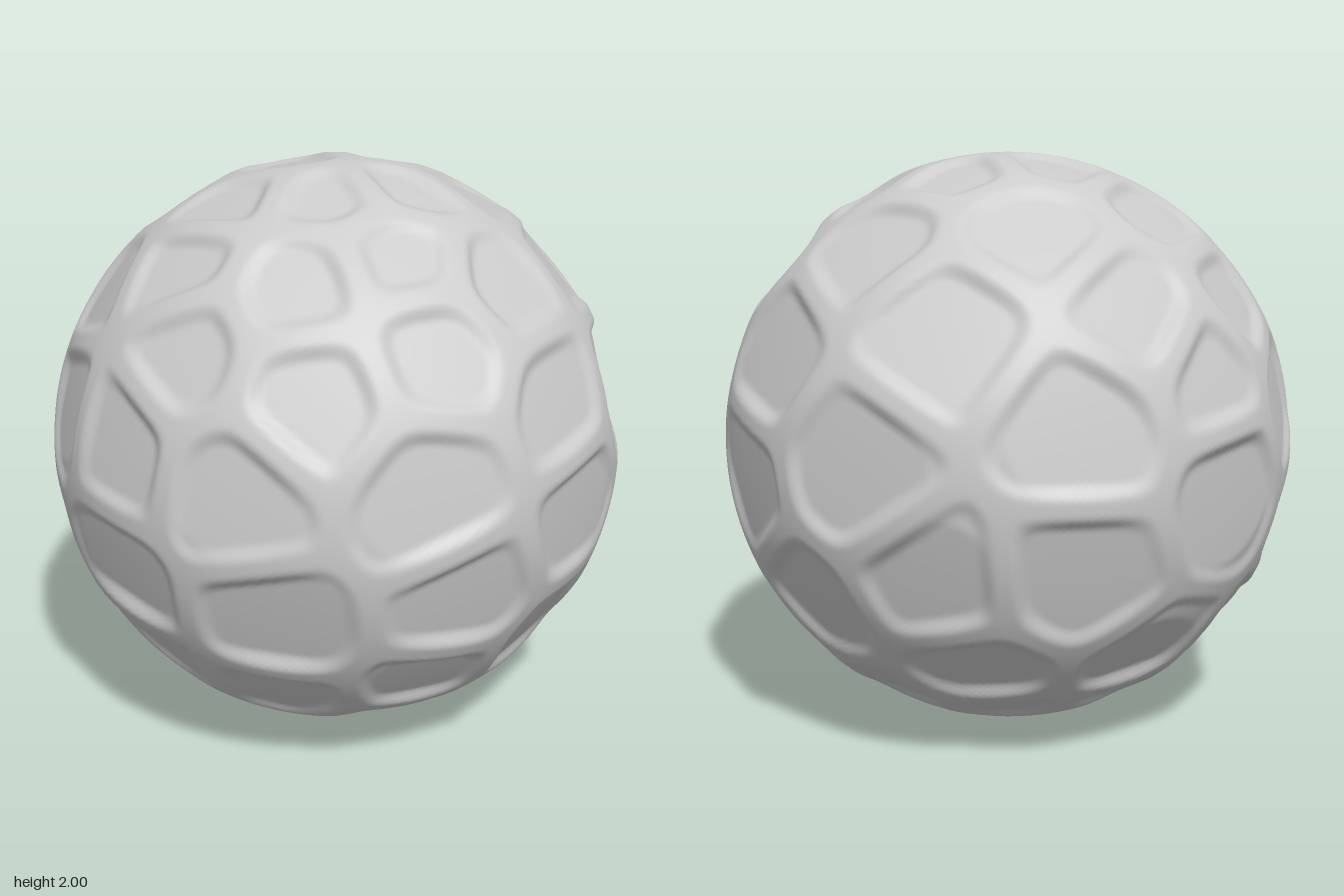
import * as THREE from 'three';
import { mergeVertices } from 'three/addons/utils/BufferGeometryUtils.js';

const RIDGE_RADIUS = 1; // height of the ridges between dimples
const RIDGE_WIDTH = 0.025; // half width of a ridge
const ROUNDING = 40; // higher gives sharper dimple corners

// Dimple centres, seen from a side of the ball, in hundredths: right, up, right, up...
const front = [1, 16, -59, 16, 53, 35, 61, -5, -47, -31, 14, -25, -38, -69, 6, -61, 52, -54, 4, -85,
  39, -85, -34, 46, 9, 58, 38, 71, -67, 54, -31, 76, 5, 82, -87, 23, -88, -25, -74, -60];
const side = [22, -7, -38, 27, -22, 65, 28, 37, -27, -35, 0, -68, 76, 51];
const top = [-42, 37, 6, 59, -12, 17, 23, 18, 55, 37, -40, -9, -12, -27, 17, -24, 44, -8, -60, -25];
const backUpper = [-22, 17, 28, 16, -52, -16, -1, -9, 49, -16, 3, -46, 62, 29, 81, 1, 65, -52];
const backLower = [2, 47, -24, -4, 26, 12, 67, 4, 30, -30, -10, -53, 24, -61, 52, -69, -16, -82,
  20, -84, 69, -47];
const underside = [-30, 16, -56, -12, -60, -40];

// Places flat centres on the ball, as seen from an azimuth and elevation in degrees
function place(centres, azimuth, elevation) {
  const turn = new THREE.Euler(
    -THREE.MathUtils.degToRad(elevation), THREE.MathUtils.degToRad(azimuth), 0, 'YXZ');
  const sites = [];
  for (let i = 0; i < centres.length; i += 2) {
    const u = centres[i] / 100, v = centres[i + 1] / 100;
    const w = Math.sqrt(1 - u * u - v * v);
    sites.push(new THREE.Vector3(u, v, w).applyEuler(turn));
  }
  return sites;
}

// Each dimple knows its centre, its half size and the borders to its neighbours
function makeDimples() {
  const sites = [
    ...place(front, 0, 0), ...place(side, 90, 0), ...place(top, 0, 90),
    ...place(backUpper, 212, 25), ...place(backLower, 135, -25), ...place(underside, 0, -90),
  ];
  return sites.map((centre) => {
    const near = sites
      .filter((s) => s !== centre)
      .sort((a, b) => a.distanceTo(centre) - b.distanceTo(centre))
      .slice(0, 14);
    const borders = near.map((s) => centre.clone().sub(s).normalize());
    const size = near.slice(0, 4).reduce((sum, s) => sum + s.distanceTo(centre), 0) / 8;
    return { centre, borders, size };
  });
}

// Radius of the ball in a direction: flattened dimples divided by rounded ridges
function radiusAt(direction, dimples) {
  let dimple = dimples[0], closest = -1;
  for (const d of dimples) {
    const nearness = direction.dot(d.centre);
    if (nearness > closest) {
      closest = nearness;
      dimple = d;
    }
  }
  // a soft minimum of the border distances rounds the corners of the dimple
  let sum = 0;
  for (const border of dimple.borders) sum += Math.exp(-ROUNDING * direction.dot(border));
  const inset = -Math.log(sum) / ROUNDING - RIDGE_WIDTH;
  if (inset <= 0) return RIDGE_RADIUS;

  const { size } = dimple;
  const rim = THREE.MathUtils.smoothstep(inset, 0, 0.05);
  const fromCentre = Math.min(size, direction.distanceTo(dimple.centre));
  const flattening = (size ** 2 - fromCentre ** 2) / 2;
  return RIDGE_RADIUS - rim * (0.016 + 0.8 * flattening);
}

export function createModel() {
  const dimples = makeDimples();
  let geometry = new THREE.IcosahedronGeometry(1, 72);
  geometry.deleteAttribute('normal');
  geometry.deleteAttribute('uv');
  geometry = mergeVertices(geometry, 1e-4);

  // push every point in or out along its own direction
  const position = geometry.attributes.position;
  const point = new THREE.Vector3();
  for (let i = 0; i < position.count; i++) {
    point.fromBufferAttribute(position, i).normalize();
    point.multiplyScalar(radiusAt(point, dimples));
    position.setXYZ(i, point.x, point.y, point.z);
  }
  geometry.computeVertexNormals();

  // stand the ball on the ground
  geometry.center();
  geometry.translate(0, -geometry.boundingBox.min.y, 0);

  const ball = new THREE.Mesh(geometry, new THREE.MeshStandardMaterial({ color: 0xcccccc }));
  ball.name = 'dimpledBall';
  const group = new THREE.Group();
  group.name = 'ball';
  group.add(ball);
  return group;
}
